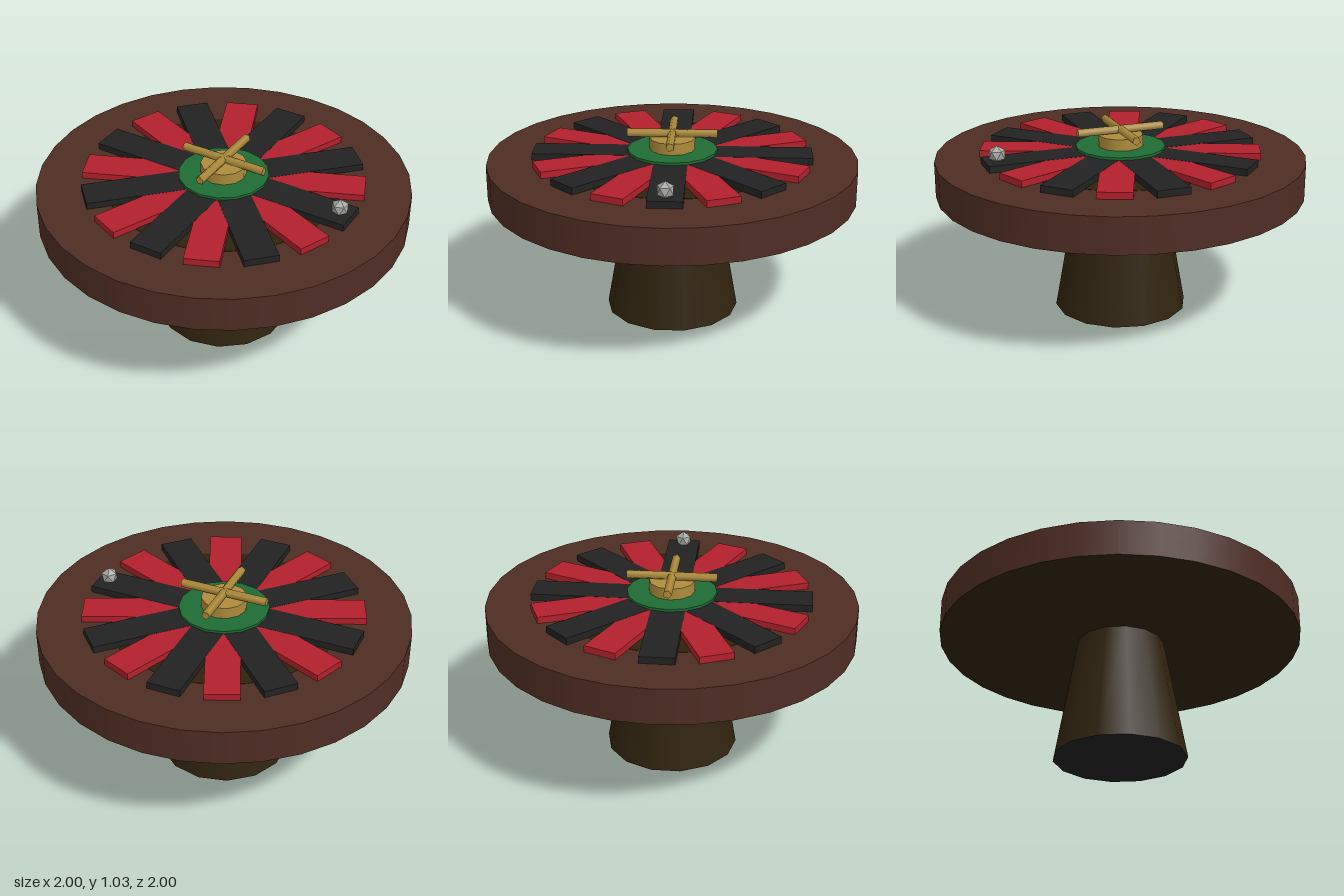
import * as THREE from 'three';

const paint = (name, color) => {
  const m = new THREE.MeshStandardMaterial({ color });
  m.name = name;
  return m;
};

export function createModel() {
  const root = new THREE.Group();
  root.name = 'wheelTable';

  const mahogany = paint('mahogany', 0x4f2d24);
  const darkWood = paint('darkWood', 0x30230f);
  const black = paint('black', 0x222222);
  const red = paint('red', 0xb3202c);
  const green = paint('green', 0x1f6c35);
  const brass = paint('brass', 0xae8c3b);
  const silver = paint('silver', 0xa8a8a4);

  const add = (name, geometry, material, x = 0, y = 0, z = 0, parent = root) => {
    const mesh = new THREE.Mesh(geometry, material);
    mesh.name = name;
    mesh.position.set(x, y, z);
    parent.add(mesh);
    return mesh;
  };
  // Upright cylinder between two heights
  const drum = (name, rTop, rBottom, y0, y1, sides, material) =>
    add(name, new THREE.CylinderGeometry(rTop, rBottom, y1 - y0, sides), material, 0, (y0 + y1) / 2, 0);

  // Tapered pedestal and round top with a dark underside
  drum('pedestal', 0.243, 0.364, 0, 0.68, 14, [darkWood, darkWood, black]);
  drum('tableTop', 1, 1, 0.675, 0.868, 32, [mahogany, mahogany, darkWood]);
  drum('wheelBed', 0.63, 0.63, 0.864, 0.87, 32, darkWood);

  // Sixteen radial pockets in alternating colours; black lies just above red
  const pockets = new THREE.Group();
  pockets.name = 'pockets';
  root.add(pockets);
  const inner = 0.12, outer = 0.753;
  for (let i = 0; i < 16; i++) {
    const isBlack = i % 2 === 0;
    const height = isBlack ? 0.037 : 0.036;
    const geometry = new THREE.BoxGeometry(outer - inner, height, 0.18);
    geometry.translate((inner + outer) / 2, height / 2, 0);
    const pocket = add(isBlack ? 'blackPocket' : 'redPocket', geometry,
      isBlack ? black : red, 0, 0.868, 0, pockets);
    pocket.rotation.y = (i * Math.PI) / 8;
  }

  // Centre hub
  drum('hubPlate', 0.243, 0.243, 0.89, 0.919, 16, green);
  drum('hubPost', 0.123, 0.123, 0.915, 0.981, 12, brass);

  // Four five-sided handle spokes
  const handle = new THREE.Group();
  handle.name = 'handle';
  root.add(handle);
  const reach = 0.243;
  for (const s of [1, -1]) {
    const spoke = () => new THREE.CylinderGeometry(0.0235, 0.0235, reach, 5);
    add('sideSpoke', spoke().rotateZ((s * Math.PI) / 2), brass, (s * reach) / 2, 1.004, 0, handle);
    add('lengthSpoke', spoke().rotateX((-s * Math.PI) / 2), brass, 0, 1.004, (s * reach) / 2, handle);
  }

  // Faceted ball resting on a pocket, one corner up
  const ball = new THREE.IcosahedronGeometry(0.048, 0);
  ball.rotateZ(Math.atan(2 / (1 + Math.sqrt(5))));
  add('ball', ball, silver, 0.687, 0.938, 0);

  return root;
}
